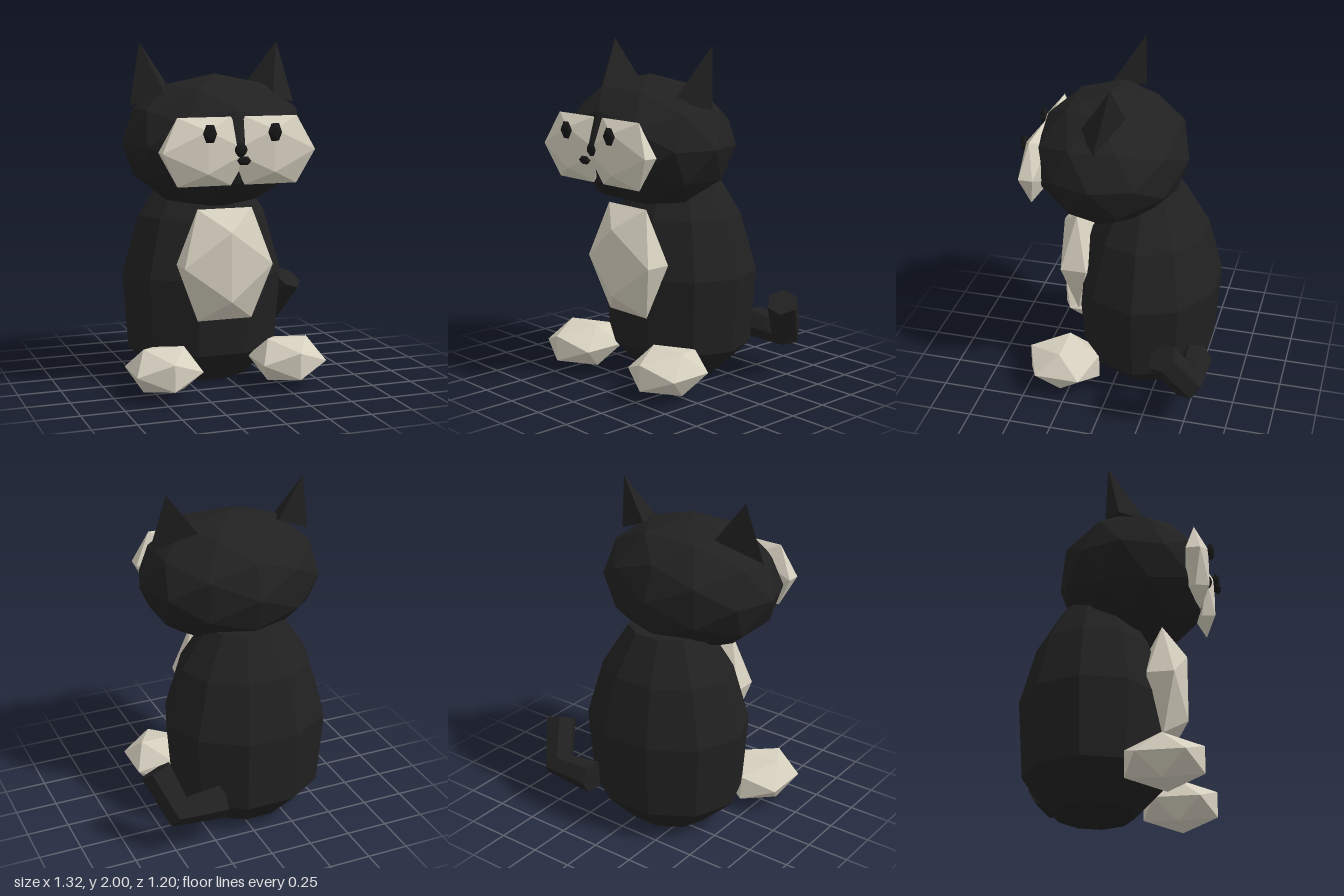
import * as THREE from 'three';
import { ConvexGeometry } from 'three/addons/geometries/ConvexGeometry.js';

const V = (x, y, z) => new THREE.Vector3(x, y, z);

export function createModel() {
  const model = new THREE.Group();
  const make = (name, hex) => {
    const m = new THREE.MeshStandardMaterial({ color: hex, flatShading: true });
    m.name = name;
    return m;
  };
  const fur = make('black fur', 0x212121);
  const cream = make('cream fur', 0xd6d0bf);
  const dark = make('eye black', 0x161616);

  const CX = -0.085; // the animal's own mirror plane

  const add = (name, geometry, material) => {
    const mesh = new THREE.Mesh(geometry, material);
    mesh.name = name;
    model.add(mesh);
    return mesh;
  };
  // Faceted, stretched ball; x is measured from the mirror plane
  const blob = (name, material, [x, y, z], [sx, sy, sz], detail = 0) => {
    const g = new THREE.IcosahedronGeometry(1, detail);
    g.scale(sx, sy, sz).translate(CX + x, y, z);
    return add(name, g, material);
  };

  // Pear-shaped ten-sided body
  const profile = [[0, 0], [0.265, 0], [0.465, 0.19], [0.5, 0.64], [0.397, 0.98], [0.24, 1.22], [0, 1.22]]
    .map(([r, y]) => new THREE.Vector2(r, y));
  const body = new THREE.LatheGeometry(profile, 10, Math.PI / 2);
  body.scale(1, 1, 0.872).translate(CX, 0, -0.155);
  add('body', body, fur);

  // Head and belly
  blob('head', fur, [0, 1.43, 0.08], [0.555, 0.39, 0.455], 1);
  blob('belly', cream, [0, 0.735, 0.26], [0.313, 0.382, 0.147]);

  // Nose and mouth
  blob('nose', dark, [0, 1.42, 0.5], [0.048, 0.048, 0.045], 1);
  blob('mouth', dark, [0, 1.365, 0.575], [0.043, 0.027, 0.024]);

  // Paired parts
  for (const [side, s] of [['left', 1], ['right', -1]]) {
    blob(side + 'EyePatch', cream, [s * 0.195, 1.41, 0.475], [0.294, 0.223, 0.08]);
    blob(side + 'Eye', dark, [s * 0.189, 1.515, 0.555], [0.042, 0.057, 0.025]);
    blob(side + 'Foot', cream, [s * 0.378, 0.155, 0.288], [0.229, 0.147, 0.255]);
    add(side + 'Ear', new ConvexGeometry([
      V(CX + s * 0.42, 2.0, -0.015),
      V(CX + s * 0.5, 1.645, 0.06),
      V(CX + s * 0.25, 1.765, -0.06),
      V(CX + s * 0.32, 1.695, 0.185),
    ]), fur);
  }

  // Bent tail: two straight closed sections sharing a mitred ring
  const path = new THREE.CatmullRomCurve3([V(0.21, 0.27, -0.51), V(0.475, 0.265, -0.51), V(0.57, 0.49, -0.375)]);
  const sides = 6;
  const pos = new THREE.TubeGeometry(path, 2, 0.095, sides).getAttribute('position');
  const ring = (k) => Array.from({ length: sides }, (_, i) =>
    new THREE.Vector3().fromBufferAttribute(pos, k * (sides + 1) + i));
  add('tailBase', new ConvexGeometry([...ring(0), ...ring(1)]), fur);
  add('tailTip', new ConvexGeometry([...ring(1), ...ring(2)]), fur);

  return model;
}
